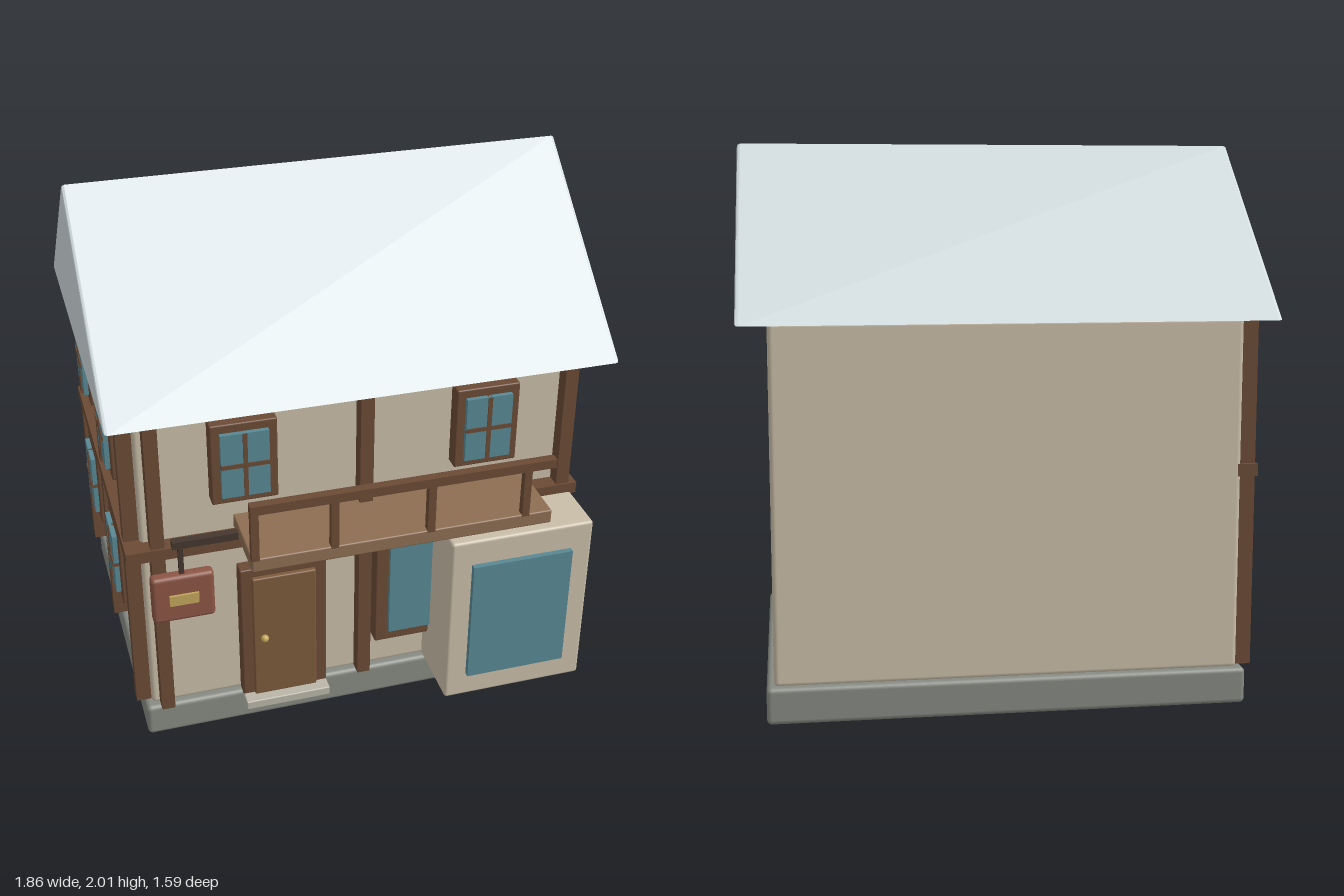
import * as THREE from 'three';
import { RoundedBoxGeometry } from 'three/addons/geometries/RoundedBoxGeometry.js';

const mat = (color) => new THREE.MeshStandardMaterial({ color });
const M = {
  plaster: mat(0xc9bda8), stone: mat(0x868a82), step: mat(0xb9b5a8), roof: mat(0xd0dadd),
  timber: mat(0x6a4a35), door: mat(0x7d5a3c), deck: mat(0x8c6d52), glass: mat(0x588894),
  sign: mat(0x8b5545), brass: mat(0xc2a55a), iron: mat(0x45372e),
};

// Box given by its extents on each axis; r rounds the edges
function block(parent, name, material, [x0, x1], [y0, y1], [z0, z1], r = 0) {
  const w = x1 - x0, h = y1 - y0, d = z1 - z0;
  const geo = r ? new RoundedBoxGeometry(w, h, d, 3, r) : new THREE.BoxGeometry(w, h, d);
  const mesh = new THREE.Mesh(geo, material);
  mesh.position.set((x0 + x1) / 2, (y0 + y1) / 2, (z0 + z1) / 2);
  mesh.name = name;
  parent.add(mesh);
  return mesh;
}

// Four-pane window, facing +z, with its back on the wall plane
function paneWindow() {
  const g = new THREE.Group();
  g.name = 'window';
  block(g, 'windowFrame', M.timber, [-0.12, 0.12], [-0.16, 0.16], [-0.01, 0.055], 0.006);
  block(g, 'windowGlass', M.glass, [-0.087, 0.087], [-0.127, 0.127], [0.04, 0.073]);
  block(g, 'mullion', M.timber, [-0.008, 0.008], [-0.127, 0.127], [0.05, 0.077]);
  block(g, 'transom', M.timber, [-0.087, 0.087], [-0.008, 0.008], [0.05, 0.077]);
  return g;
}

export function createModel() {
  const house = new THREE.Group();
  house.name = 'house';

  // Walls on a stone base
  block(house, 'foundation', M.stone, [-0.853, 0.853], [0, 0.132], [-0.722, 0.537], 0.018);
  block(house, 'walls', M.plaster, [-0.827, 0.827], [0.125, 1.395], [-0.695, 0.505], 0.018);

  // Gable roof: a triangle run along x with softened edges
  const b = 0.012;
  const gable = new THREE.Shape([
    new THREE.Vector2(-0.605, 1.39),
    new THREE.Vector2(0.795, 1.39),
    new THREE.Vector2(0.095, 2.005),
  ]);
  const roofGeo = new THREE.ExtrudeGeometry(gable, {
    depth: 1.86 - 2 * b, bevelEnabled: true, bevelSize: b, bevelThickness: b,
    bevelOffset: -b, bevelSegments: 2,
  });
  roofGeo.rotateY(Math.PI / 2).translate(-0.93 + b, 0, 0);
  const roof = new THREE.Mesh(roofGeo, M.roof);
  roof.name = 'roof';
  house.add(roof);

  // Timber posts and beams on the front and left-hand walls
  for (const x of [-0.773, -0.003, 0.772])
    block(house, 'frontPost', M.timber, [x - 0.025, x + 0.025], [0.135, 1.395], [0.495, 0.56]);
  for (const z of [-0.655, -0.095, 0.46])
    block(house, 'sidePost', M.timber, [-0.882, -0.815], [0.135, 1.395], [z - 0.025, z + 0.025]);
  block(house, 'frontBeam', M.timber, [-0.885, 0.827], [0.828, 0.873], [0.495, 0.568]);
  block(house, 'sideBeam', M.timber, [-0.888, -0.815], [0.828, 0.873], [-0.695, 0.565]);

  // Pane windows
  for (const x of [-0.45, 0.45]) {
    const w = paneWindow();
    w.position.set(x, 1.18, 0.505);
    house.add(w);
  }
  for (const y of [0.625, 1.18])
    for (const z of [-0.375, 0.185]) {
      const w = paneWindow();
      w.position.set(-0.827, y, z);
      w.rotation.y = -Math.PI / 2;
      house.add(w);
    }

  // Shop window, partly behind the bay
  block(house, 'shopWindowFrame', M.timber, [0.04, 0.7], [0.275, 0.78], [0.495, 0.56], 0.006);
  block(house, 'shopWindowGlass', M.glass, [0.09, 0.65], [0.325, 0.73], [0.54, 0.578]);

  // Bay window
  block(house, 'bay', M.plaster, [0.255, 0.807], [0.12, 0.835], [0.49, 0.775], 0.012);
  block(house, 'bayGlass', M.glass, [0.335, 0.723], [0.225, 0.732], [0.76, 0.796]);

  // Door
  block(house, 'doorFrame', M.timber, [-0.482, -0.155], [0.13, 0.715], [0.495, 0.56], 0.006);
  block(house, 'doorLeaf', M.door, [-0.44, -0.198], [0.138, 0.68], [0.54, 0.578], 0.006);
  block(house, 'doorstep', M.step, [-0.482, -0.155], [0.1, 0.137], [0.5, 0.613], 0.005);
  const knob = new THREE.Mesh(new THREE.SphereGeometry(0.015, 16, 12), M.brass);
  knob.name = 'doorKnob';
  knob.position.set(-0.4, 0.408, 0.585);
  house.add(knob);

  // Balcony
  block(house, 'balconyDeck', M.deck, [-0.486, 0.623], [0.878, 0.932], [0.495, 0.795], 0.006);
  block(house, 'balconyRail', M.timber, [-0.488, 0.623], [1.115, 1.15], [0.765, 0.799]);
  for (const x of [-0.473, -0.19, 0.163, 0.52])
    block(house, 'baluster', M.timber, [x - 0.014, x + 0.014], [0.925, 1.12], [0.768, 0.796]);

  // Hanging sign
  block(house, 'signBracket', M.iron, [-0.725, -0.47], [0.876, 0.905], [0.555, 0.585]);
  block(house, 'signHanger', M.iron, [-0.706, -0.688], [0.76, 0.88], [0.57, 0.588]);
  block(house, 'signBoard', M.sign, [-0.812, -0.583], [0.575, 0.77], [0.555, 0.605], 0.016);
  block(house, 'signPlate', M.brass, [-0.75, -0.643], [0.652, 0.695], [0.59, 0.614]);

  return house;
}
